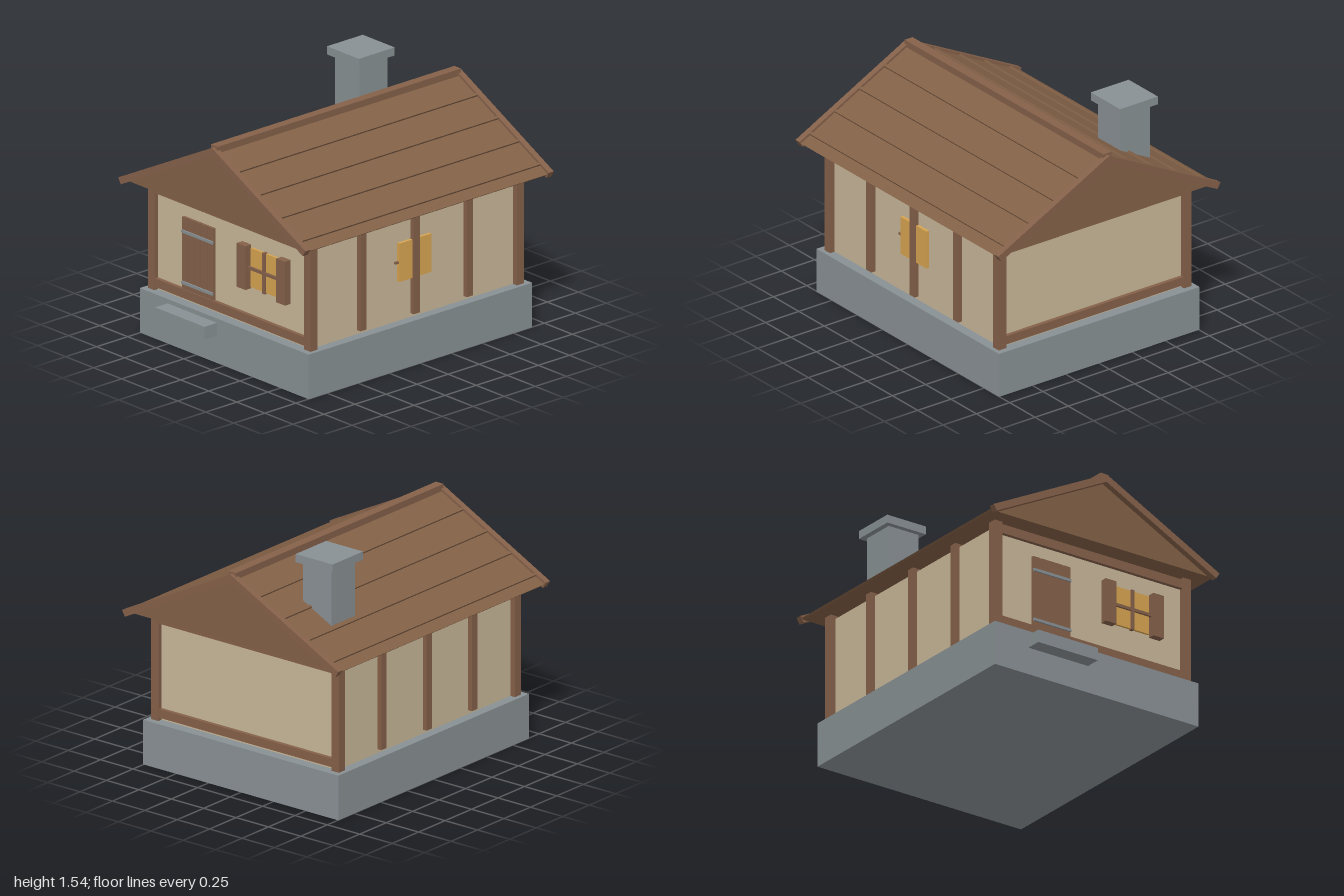
import * as THREE from 'three';

export function createModel() {
  const root = new THREE.Group();
  const mat = (name, color) => {
    const m = new THREE.MeshStandardMaterial({ color });
    m.name = name;
    return m;
  };
  const stone = mat('stone grey', 0x889093);
  const plaster = mat('plaster beige', 0xc8b798);
  const wood = mat('timber brown', 0x846049);
  const roofing = mat('roof brown', 0x826046);
  const glass = mat('window amber', 0xd6a350);

  const add = (name, geometry, material) => {
    const mesh = new THREE.Mesh(geometry, material);
    mesh.name = name;
    root.add(mesh);
    return mesh;
  };
  // Box given by its low and high limits on each axis
  const box = (name, material, x0, x1, y0, y1, z0, z1) => {
    const mesh = add(name, new THREE.BoxGeometry(x1 - x0, y1 - y0, z1 - z0), material);
    mesh.position.set((x0 + x1) / 2, (y0 + y1) / 2, (z0 + z1) / 2);
    return mesh;
  };
  // Outline in x and y, extruded from z0 to z1
  const slab = (name, material, points, z0, z1) => {
    const shape = new THREE.Shape(points.map(([x, y]) => new THREE.Vector2(x, y)));
    const geometry = new THREE.ExtrudeGeometry(shape, { depth: z1 - z0, bevelEnabled: false });
    geometry.translate(0, 0, z0);
    return add(name, geometry, material);
  };

  // Base and doorstep
  box('foundation', stone, -0.753, 0.753, 0, 0.285, -0.9, 0.9);
  box('doorstep', stone, -0.505, -0.065, 0.175, 0.257, 0.89, 1);

  // Walls
  box('walls', plaster, -0.69, 0.69, 0.285, 0.955, -0.83, 0.83);

  // Timber frame: corner posts, side studs, end beams
  for (const s of [-1, 1]) {
    for (const e of [-1, 1]) {
      const post = box('cornerPost', wood, 0.668, 0.725, 0.285, 0.98, 0.803, 0.86);
      post.position.x *= s;
      post.position.z *= e;
    }
    for (const z of [-0.428, 0, 0.428]) {
      const stud = box('sideStud', wood, 0.67, 0.72, 0.31, 0.98, z - 0.025, z + 0.025);
      stud.position.x *= s;
    }
    for (const [y0, y1] of [[0.305, 0.36], [0.905, 0.963]]) {
      const beam = box('endBeam', wood, -0.668, 0.668, y0, y1, 0.8, 0.855);
      beam.position.z *= s;
    }
  }

  // Plank door with iron straps
  for (let i = 0; i < 5; i++) {
    const x = -0.432 + i * 0.0565;
    box('doorPlank', wood, x, x + 0.051, 0.36, 0.82, 0.82, 0.848);
  }
  for (const y of [0.402, 0.73]) {
    box('doorStrap', stone, -0.432, -0.155, y - 0.009, y + 0.009, 0.84, 0.857);
  }

  // Front window with glazing bars and shutters
  box('frontWindow', glass, 0.173, 0.427, 0.54, 0.79, 0.82, 0.845);
  box('windowBarUpright', wood, 0.29, 0.31, 0.533, 0.795, 0.83, 0.856);
  box('windowBarLevel', wood, 0.163, 0.437, 0.655, 0.674, 0.83, 0.858);
  for (const x of [0.085, 0.437]) {
    box('shutter', wood, x, x + 0.078, 0.525, 0.805, 0.83, 0.876);
  }

  // Side window
  box('sideWindow', glass, 0.67, 0.71, 0.54, 0.786, -0.127, 0.13);
  box('sideWindowCatch', wood, 0.68, 0.705, 0.657, 0.67, 0.13, 0.156);

  // Roof body closing both gables
  slab('roof', roofing,
    [[-0.815, 0.975], [0.815, 0.975], [0.825, 0.983], [0, 1.403], [-0.825, 0.983]], -0.96, 0.96);

  // Bargeboards along both gable ends
  const board = [[0, 1.37], [0.812, 0.957], [0.835, 0.995], [0, 1.42]];
  const mirrored = board.map(([x, y]) => [-x, y]).reverse();
  for (const z of [-1, 0.96]) {
    slab('bargeboard', wood, board, z, z + 0.04);
    slab('bargeboard', wood, mirrored, z, z + 0.04);
  }

  // Battens lying on the slopes
  const pitch = Math.atan2(0.42, 0.825);
  for (const s of [-1, 1]) {
    for (const x of [0.187, 0.373, 0.56, 0.747]) {
      const batten = add('roofBatten', new THREE.BoxGeometry(0.018, 0.024, 1.92), roofing);
      batten.position.set(s * x, 1.403 - x * 0.509, 0);
      batten.rotation.z = -s * pitch;
    }
  }
  box('ridgeCap', wood, -0.03, 0.03, 1.385, 1.43, -0.98, 0.98);

  // Chimney
  box('chimney', stone, -0.535, -0.315, 0.94, 1.49, -0.698, -0.475);
  box('chimneyCap', stone, -0.57, -0.285, 1.488, 1.54, -0.73, -0.442);

  return root;
}
